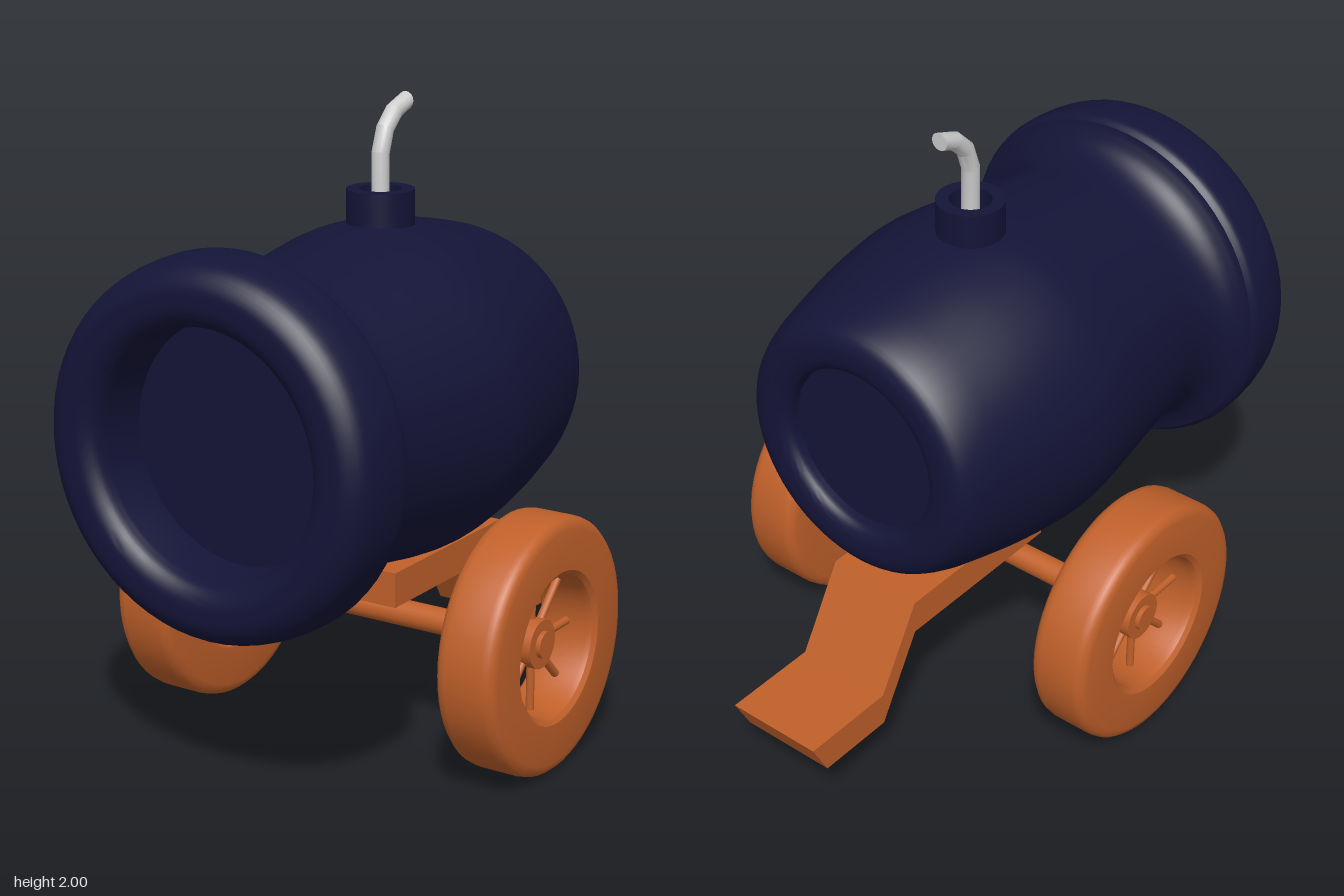
import * as THREE from 'three';
import { toCreasedNormals } from 'three/addons/utils/BufferGeometryUtils.js';

const navy = new THREE.MeshStandardMaterial({ color: 0x141438 });
const wood = new THREE.MeshStandardMaterial({ color: 0xc0602a });
const grey = new THREE.MeshStandardMaterial({ color: 0xcccccc });

function part(name, geometry, material, parent) {
  const mesh = new THREE.Mesh(geometry, material);
  mesh.name = name;
  parent.add(mesh);
  return mesh;
}

// Smooth run through [radius, height] pairs
function smooth(pairs, count) {
  const pts = pairs.map(([r, h]) => new THREE.Vector3(r, h, 0));
  return new THREE.CatmullRomCurve3(pts).getPoints(count).map(p => new THREE.Vector2(p.x, p.y));
}

function lathe(points, segments, crease = 0.6) {
  return toCreasedNormals(new THREE.LatheGeometry(points, segments), crease);
}

const v2 = (r, h) => new THREE.Vector2(r, h);

// Barrel profile runs from the rear recess, over the outside, into the bore
function barrelGeometry() {
  const body = smooth([
    [0.27, -0.49], [0.275, -0.525], [0.30, -0.545], [0.335, -0.551], [0.37, -0.549],
    [0.407, -0.53], [0.44, -0.47], [0.476, -0.34], [0.51, -0.17], [0.529, 0],
    [0.525, 0.1], [0.503, 0.25], [0.471, 0.456], [0.456, 0.58], [0.468, 0.65],
    [0.495, 0.69], [0.54, 0.715],
  ], 64);
  const lip = smooth([
    [0.555, 0.718], [0.57, 0.74], [0.571, 0.79], [0.565, 0.85], [0.545, 0.91], [0.5, 0.945],
    [0.46, 0.95], [0.42, 0.945], [0.385, 0.92], [0.37, 0.88],
  ], 36);
  const g = lathe([v2(0, -0.49), ...body, ...lip, v2(0.37, 0.73), v2(0, 0.73)], 64);
  return g.rotateX(Math.PI / 2);
}

// Bent fuse: each ring of a cylinder is moved to a centre [y, z] and tilted back
function fuseGeometry() {
  const radius = 0.028;
  const rings = [
    [1.6, 0, 0], [1.83, 0, 0.2], [1.9, -0.025, 0.6],
    [1.948, -0.075, 0.9], [1.972, -0.14, Math.PI / 2],
  ];
  const g = new THREE.CylinderGeometry(radius, radius, 1, 16, rings.length - 1);
  const pos = g.attributes.position;
  for (let i = 0; i < pos.count; i++) {
    const [y, z, tilt] = rings[Math.round((pos.getY(i) + 0.5) * (rings.length - 1))];
    const d = pos.getZ(i);
    pos.setXYZ(i, pos.getX(i), y + d * Math.sin(tilt), z + d * Math.cos(tilt));
  }
  return toCreasedNormals(g, 0.42);
}

function makeWheel() {
  const wheel = new THREE.Group();
  // Closed tyre section with rounded corners
  const tyre = [
    [0.22, -0.07], [0.225, -0.088], [0.24, -0.1], [0.365, -0.1], [0.386, -0.094], [0.398, -0.08],
    [0.402, -0.06], [0.402, 0.06], [0.398, 0.08], [0.386, 0.094], [0.365, 0.1], [0.24, 0.1],
    [0.225, 0.088], [0.22, 0.07], [0.22, -0.07],
  ].map(p => v2(...p));
  part('tyre', lathe(tyre, 56).rotateZ(Math.PI / 2), wood, wheel);
  part('hub', new THREE.CylinderGeometry(0.077, 0.077, 0.08, 28).rotateZ(Math.PI / 2), wood, wheel);
  for (let i = 0; i < 8; i++) {
    const spoke = new THREE.CylinderGeometry(0.013, 0.013, 0.19, 10);
    spoke.translate(0, 0.14, 0).rotateX(i * Math.PI / 4);
    part('spoke', spoke, wood, wheel);
  }
  return wheel;
}

export function createModel() {
  const model = new THREE.Group();
  model.name = 'cannon';

  part('barrel', barrelGeometry(), navy, model).position.y = 1.095;

  // Hollow collar that holds the fuse
  const collar = [[0.105, 1.56], [0.105, 1.722], [0.065, 1.722], [0.065, 1.64], [0, 1.64]];
  part('fuseCollar', lathe(collar.map(p => v2(...p)), 32), navy, model);
  part('fuse', fuseGeometry(), grey, model);

  // Axle and the mirrored wheels
  const axleY = 0.403, axleZ = 0.077;
  const axle = new THREE.CylinderGeometry(0.042, 0.042, 1.3, 24).rotateZ(Math.PI / 2);
  part('axle', axle, wood, model).position.set(0, axleY, axleZ);
  for (const side of [-1, 1]) {
    const wheel = makeWheel();
    wheel.name = side > 0 ? 'leftWheel' : 'rightWheel';
    wheel.position.set(side * 0.595, axleY, axleZ);
    model.add(wheel);
  }

  // Stepped trail: side outline in [-z, y], extruded across the width
  const outline = [
    [-0.165, 0.45], [0.47, 0.45], [0.625, 0.182], [0.888, 0.182],
    [0.947, 0.295], [0.627, 0.295], [0.47, 0.563], [-0.165, 0.563],
  ];
  const trail = new THREE.ExtrudeGeometry(new THREE.Shape(outline.map(p => v2(...p))), {
    depth: 0.324, bevelEnabled: false,
  });
  trail.translate(0, 0, -0.162).rotateY(Math.PI / 2);
  part('trail', trail, wood, model);

  return model;
}
